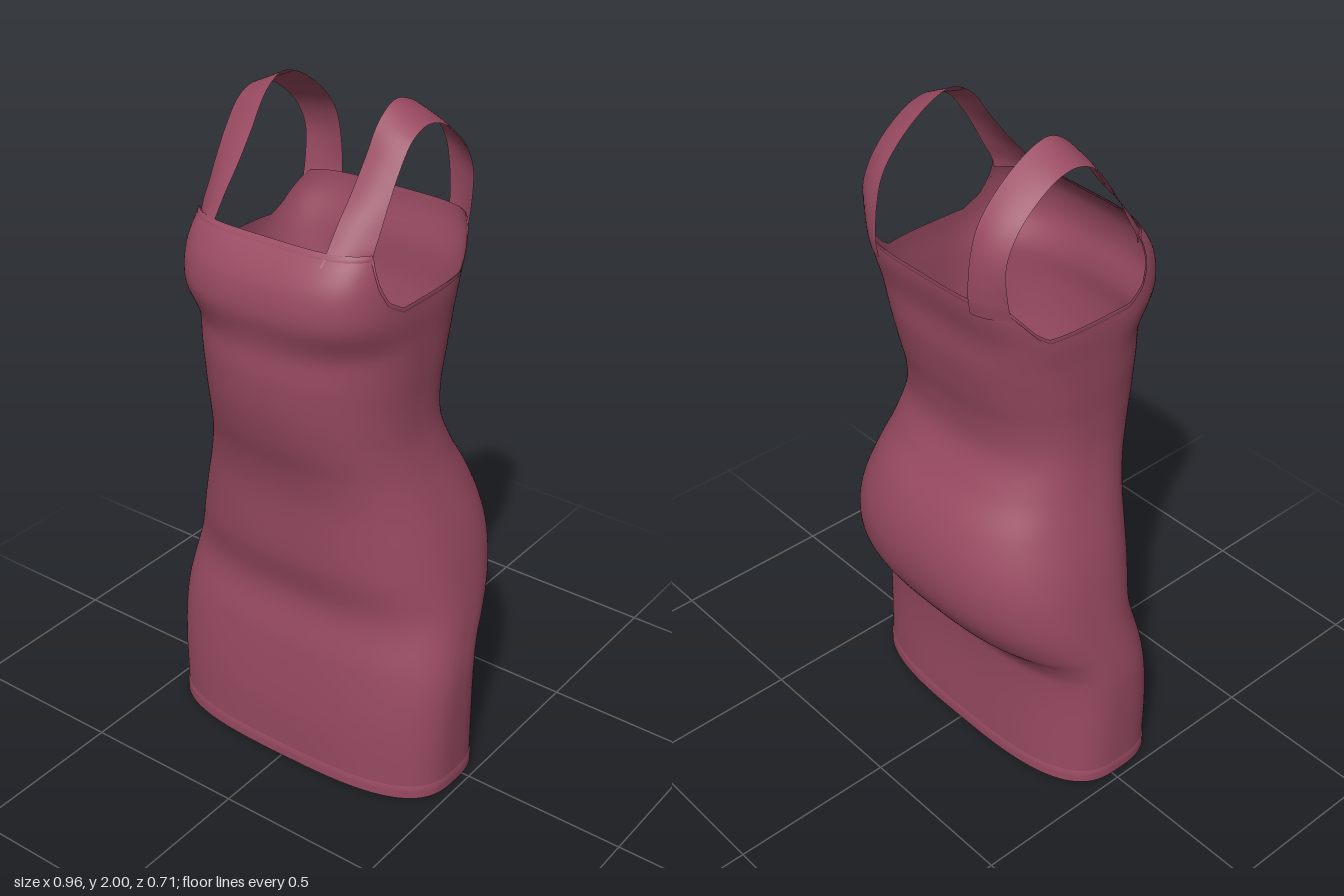
import * as THREE from 'three';

const fabric = new THREE.MeshStandardMaterial({ color: 0x984a61, side: THREE.DoubleSide });
fabric.name = 'rose fabric';

// Smooth curve through [position, value] pairs
function smooth(pts, t) {
  const last = pts.length - 1;
  if (t <= pts[0][0]) return pts[0][1];
  if (t >= pts[last][0]) return pts[last][1];
  let i = 0;
  while (t > pts[i + 1][0]) i++;
  const slope = (k) => {
    const a = pts[Math.max(k - 1, 0)], b = pts[Math.min(k + 1, last)];
    return (b[1] - a[1]) / (b[0] - a[0]);
  };
  const h = pts[i + 1][0] - pts[i][0], u = (t - pts[i][0]) / h;
  const u2 = u * u, u3 = u2 * u;
  return pts[i][1] * (2 * u3 - 3 * u2 + 1) + pts[i + 1][1] * (3 * u2 - 2 * u3)
    + h * (slope(i) * (u3 - 2 * u2 + u) + slope(i + 1) * (u3 - u2));
}

function linear(pts, t) {
  for (let i = 0; i < pts.length - 1; i++) {
    const [a, va] = pts[i], [b, vb] = pts[i + 1];
    if (t <= b) return va + (vb - va) * Math.max(0, (t - a) / (b - a));
  }
  return pts[pts.length - 1][1];
}

// Body measurements by height
const width = [[0, 0.473], [0.35, 0.481], [0.5, 0.465], [0.7, 0.43], [0.8, 0.405], [0.9, 0.373],
  [1, 0.343], [1.1, 0.324], [1.2, 0.32], [1.3, 0.324], [1.4, 0.327], [1.5, 0.33], [1.6, 0.32], [1.68, 0.3]];
const front = [[0, 0.25], [0.2, 0.25], [0.4, 0.232], [0.55, 0.207], [0.7, 0.235], [0.9, 0.25], [1, 0.27],
  [1.1, 0.302], [1.2, 0.325], [1.3, 0.335], [1.38, 0.332], [1.42, 0.337], [1.5, 0.354], [1.58, 0.342], [1.64, 0.308], [1.68, 0.272]];
const back = [[0, -0.18], [0.38, -0.184], [0.45, -0.22], [0.5, -0.27], [0.6, -0.33], [0.7, -0.352], [0.8, -0.345],
  [0.9, -0.31], [1, -0.25], [1.1, -0.207], [1.2, -0.21], [1.3, -0.232], [1.4, -0.25], [1.5, -0.257], [1.6, -0.28], [1.68, -0.287]];
const seam = [[0, 0.035], [0.3, 0.03], [0.45, 0], [0.6, -0.05], [0.75, -0.065], [1, 0], [1.2, 0.04], [1.68, 0.04]];
const frontSquare = [[0, 3], [0.5, 2.7], [1, 2.5], [1.38, 2.4], [1.5, 3.2], [1.6, 3.6], [1.68, 4]];
const backSquare = [[0, 3], [0.5, 2.5], [1, 2.5], [1.4, 3], [1.6, 4.2], [1.68, 4.4]];
// Top edge by depth: back neckline, armhole, front neckline
const topEdge = [[-0.235, 1.64], [-0.21, 1.6], [-0.18, 1.55], [-0.15, 1.525], [0.13, 1.525],
  [0.18, 1.555], [0.215, 1.61], [0.245, 1.68]];

function bodyPoint(angle, y, offset = 0) {
  const c = Math.cos(angle), s = Math.sin(angle);
  const n = smooth(s > 0 ? frontSquare : backSquare, y);
  const r = Math.pow(Math.abs(c) ** n + Math.abs(s) ** n, -1 / n);
  const mid = smooth(seam, y);
  const depth = Math.abs(smooth(s > 0 ? front : back, y) - mid);
  return [(smooth(width, y) + offset) * c * r, y, mid + (depth + offset) * s * r];
}

const topAt = (angle) => linear(topEdge, bodyPoint(angle, 1.6)[2]);

// Grid surface from a point rule; closed grids wrap around in u
function surface(name, cols, rows, closed, rule) {
  const pos = [], index = [], n = closed ? cols : cols + 1;
  for (let j = 0; j <= rows; j++) {
    for (let i = 0; i < n; i++) pos.push(...rule(i / cols, j / rows));
  }
  for (let j = 0; j < rows; j++) {
    for (let i = 0; i < cols; i++) {
      const a = j * n + i, b = j * n + (i + 1) % n;
      index.push(a, a + n, b, b, a + n, b + n);
    }
  }
  const geo = new THREE.BufferGeometry();
  geo.setAttribute('position', new THREE.Float32BufferAttribute(pos, 3));
  geo.setIndex(index);
  geo.computeVertexNormals();
  const mesh = new THREE.Mesh(geo, fabric);
  mesh.name = name;
  return mesh;
}

// Strap edges as [y, z], front to back
const strapInner = [[1.65, 0.292], [1.68, 0.266], [1.74, 0.22], [1.8, 0.168], [1.88, 0.107], [1.96, 0.05], [1.998, -0.015],
  [1.985, -0.08], [1.92, -0.18], [1.84, -0.25], [1.76, -0.276], [1.65, -0.285], [1.6, -0.278]];
const strapOuter = [[1.65, 0.208], [1.68, 0.2], [1.73, 0.172], [1.79, 0.14], [1.86, 0.098], [1.925, 0.045], [1.95, -0.015],
  [1.94, -0.08], [1.89, -0.16], [1.83, -0.215], [1.76, -0.245], [1.65, -0.238], [1.6, -0.225]];

function strap(name, side) {
  const curve = (pts, x) => new THREE.CatmullRomCurve3(pts.map(([y, z]) => new THREE.Vector3(x * side, y, z)));
  const inner = curve(strapInner, 0.18), outer = curve(strapOuter, 0.278);
  return surface(name, 8, 72, false, (u, v) => {
    const k = side > 0 ? 1 - u : u;
    const p = inner.getPoint(v).lerp(outer.getPoint(v), k);
    // slight crown where the strap wraps the shoulder and chest
    const crown = 0.012 * Math.sin(Math.PI * k);
    p.z += crown * Math.cos(Math.PI * v);
    return p.toArray();
  });
}

export function createModel() {
  const group = new THREE.Group();
  group.name = 'dress';
  const TAU = Math.PI * 2, COLS = 256;

  // Fitted body, rows squeezed under the shaped top edge
  group.add(surface('body', COLS, 110, true, (u, v) => {
    const a = u * TAU, top = topAt(a);
    const y = v < 0.8 ? (v / 0.8) * 1.36 : 1.36 + ((v - 0.8) / 0.2) * (top - 1.36);
    return bodyPoint(a, y);
  }));

  // Folded hem and top edge binding
  group.add(surface('hem', COLS, 4, true, (u, v) =>
    bodyPoint(u * TAU, 0.042 * v, v === 1 ? 0 : 0.003)));
  group.add(surface('topBinding', COLS, 3, true, (u, v) => {
    const a = u * TAU;
    return bodyPoint(a, topAt(a) - 0.014 * (1 - v), v === 0 ? 0 : 0.002);
  }));

  group.add(strap('leftStrap', 1), strap('rightStrap', -1));
  return group;
}
